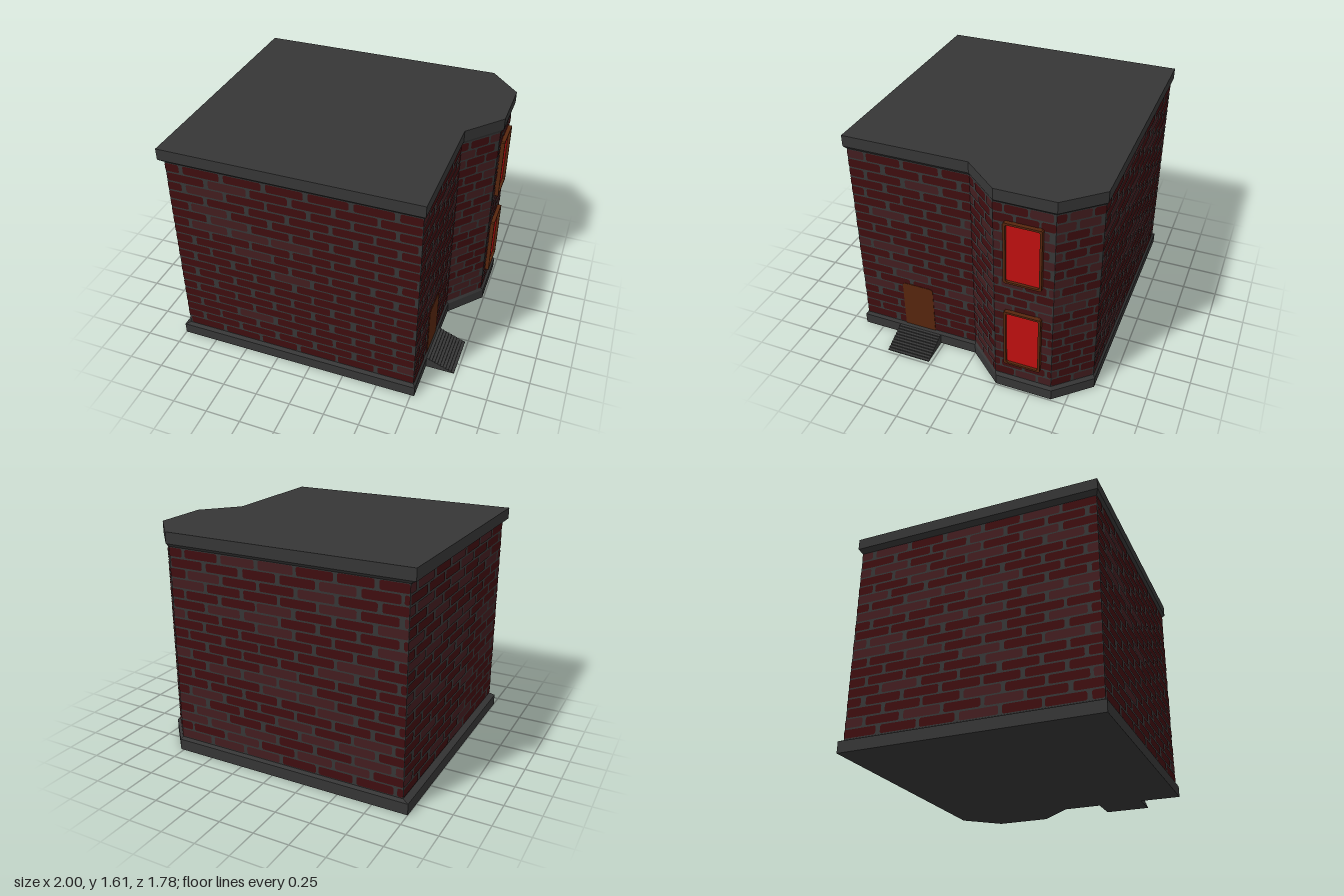
import * as THREE from 'three';
import { mergeGeometries } from 'three/addons/utils/BufferGeometryUtils.js';

const material = (name, color) => {
  const m = new THREE.MeshStandardMaterial({ color });
  m.name = name;
  return m;
};

// Footprints as [x, z], starting at the front left corner seen from the front
const WALL = [[-0.96, 0.87], [0.76, 0.87], [0.76, 0], [0.97, -0.24], [0.97, -0.64], [0.76, -0.875], [-0.96, -0.875]];
const TRIM = [[-1, 0.89], [0.775, 0.89], [0.775, 0], [0.99, -0.25], [0.99, -0.65], [0.775, -0.89], [-1, -0.89]];
const WALL_LOW = 0.1, WALL_HIGH = 1.51;

function seeded(seed) {
  return () => {
    seed = (seed * 16807) % 2147483647;
    return seed / 2147483647;
  };
}

// Upright prism over a footprint
function prism(points, y0, y1) {
  const shape = new THREE.Shape(points.map(([x, z]) => new THREE.Vector2(x, -z)));
  const g = new THREE.ExtrudeGeometry(shape, { depth: y1 - y0, bevelEnabled: false });
  return g.rotateX(-Math.PI / 2).translate(0, y0, 0);
}

// Sloped band joining two footprints
function skirt(low, y0, high, y1) {
  const pos = [];
  low.forEach((a, i) => {
    const j = (i + 1) % low.length;
    const b = low[j], A = high[i], B = high[j];
    pos.push(a[0], y0, a[1], b[0], y0, b[1], B[0], y1, B[1]);
    pos.push(a[0], y0, a[1], B[0], y1, B[1], A[0], y1, A[1]);
  });
  const g = new THREE.BufferGeometry();
  g.setAttribute('position', new THREE.Float32BufferAttribute(pos, 3));
  g.computeVertexNormals();
  return g;
}

// Rectangle with cut corners
function cutRect(x0, y0, x1, y1, c, Type = THREE.Shape) {
  const s = new Type();
  s.moveTo(x0 + c, y0);
  s.lineTo(x1 - c, y0);
  s.lineTo(x1, y0 + c);
  s.lineTo(x1, y1 - c);
  s.lineTo(x1 - c, y1);
  s.lineTo(x0 + c, y1);
  s.lineTo(x0, y1 - c);
  s.lineTo(x0, y0 + c);
  s.closePath();
  return s;
}

export function createModel() {
  const stone = material('dark grey stone', 0x363636);
  const brick = material('dark red brick', 0x3f0d0f);
  const dusty = material('dusty red brick', 0x431d1f);
  const wood = material('brown wood', 0x57260e);
  const glass = material('red glass', 0xc01010);

  const house = new THREE.Group();
  house.name = 'brickHouse';
  const add = (name, geometry, mat, parent = house) => {
    const mesh = new THREE.Mesh(geometry, mat);
    mesh.name = name;
    parent.add(mesh);
    return mesh;
  };

  // Mortar body, plinth and cornice with their bevels
  add('mortarWalls', prism(WALL, 0.08, 1.53), stone);
  add('plinth', prism(TRIM, 0, 0.08), stone);
  add('plinthBevel', skirt(TRIM, 0.08, WALL, WALL_LOW), stone);
  add('corniceBevel', skirt(WALL, WALL_HIGH, TRIM, 1.53), stone);
  add('corniceAndRoof', prism(TRIM, 1.53, 1.61), stone);

  // Courses of bricks on each wall: brick pitch and share of dusty bricks
  const rand = seeded(4711);
  const names = ['front', 'door', 'bayFront', 'bayMiddle', 'bayBack', 'back', 'left'];
  const pitches = [0.29, 0.27, 0.16, 0.16, 0.16, 0.28, 0.28];
  const dustyShares = [0.1, 0.15, 0.4, 0.45, 0.35, 0.35, 0.3];
  const rows = 20, course = (WALL_HIGH - WALL_LOW) / rows;
  WALL.forEach((a, i) => {
    const b = WALL[(i + 1) % WALL.length];
    const dx = b[0] - a[0], dz = b[1] - a[1];
    const length = Math.hypot(dx, dz), pitch = pitches[i];
    const wall = new THREE.Group();
    wall.name = names[i] + 'BrickWall';
    wall.position.set(a[0], 0, a[1]);
    wall.rotation.y = Math.atan2(-dz, dx);
    const plain = [], pale = [];
    for (let r = 0; r < rows; r++) {
      const y = WALL_LOW + r * course;
      const shift = (r % 2 ? 0.5 : 0) * pitch + 0.04 * rand();
      for (let x = -shift; x < length; x += pitch) {
        const x0 = Math.max(0, x + pitch * (0.03 + 0.04 * rand()));
        const x1 = Math.min(length, x + pitch * (0.93 + 0.05 * rand()));
        if (x1 - x0 < 0.025) continue;
        const shape = cutRect(x0, y + 0.007, x1, y + course - 0.006 + 0.003 * rand(), 0.009);
        const g = new THREE.ShapeGeometry(shape).translate(0, 0, 0.003);
        (rand() < dustyShares[i] ? pale : plain).push(g);
      }
    }
    if (plain.length) add('bricks', mergeGeometries(plain), brick, wall);
    if (pale.length) add('dustyBricks', mergeGeometries(pale), dusty, wall);
    house.add(wall);
  });

  // Windows on the bay, glass set back in a wooden frame
  [['lowerWindow', 0.46], ['upperWindow', 1.16]].forEach(([name, y]) => {
    const win = new THREE.Group();
    win.name = name;
    win.position.set(0.97, y, -0.44);
    win.rotation.y = Math.PI / 2;
    const frame = cutRect(-0.127, -0.23, 0.127, 0.23, 0.008);
    frame.holes.push(cutRect(-0.111, -0.216, 0.111, 0.216, 0.008, THREE.Path));
    add('windowFrame', new THREE.ExtrudeGeometry(frame, { depth: 0.03, bevelEnabled: false }), wood, win);
    add('windowGlass', new THREE.BoxGeometry(0.23, 0.44, 0.008).translate(0, 0, 0.008), glass, win);
    house.add(win);
  });

  // Door with softened top corners
  const leaf = new THREE.Shape();
  leaf.moveTo(-0.117, 0.1);
  leaf.lineTo(0.117, 0.1);
  leaf.lineTo(0.117, 0.455);
  leaf.quadraticCurveTo(0.117, 0.48, 0.092, 0.48);
  leaf.lineTo(-0.092, 0.48);
  leaf.quadraticCurveTo(-0.117, 0.48, -0.117, 0.455);
  leaf.closePath();
  const door = add('door', new THREE.ExtrudeGeometry(leaf, { depth: 0.006, bevelEnabled: false }), wood);
  door.position.set(0.76, 0, 0.435);
  door.rotation.y = Math.PI / 2;

  // Shallow steps down from the door
  const steps = new THREE.Group();
  steps.name = 'doorSteps';
  const count = 10, tread = 0.205 / count;
  for (let s = 0; s < count; s++) {
    const h = 0.08 * (count - s) / count;
    const step = add('step', new THREE.BoxGeometry(tread, h, 0.325), stone, steps);
    step.position.set(0.775 + (s + 0.5) * tread, h / 2, 0.435);
  }
  house.add(steps);

  return house;
}
